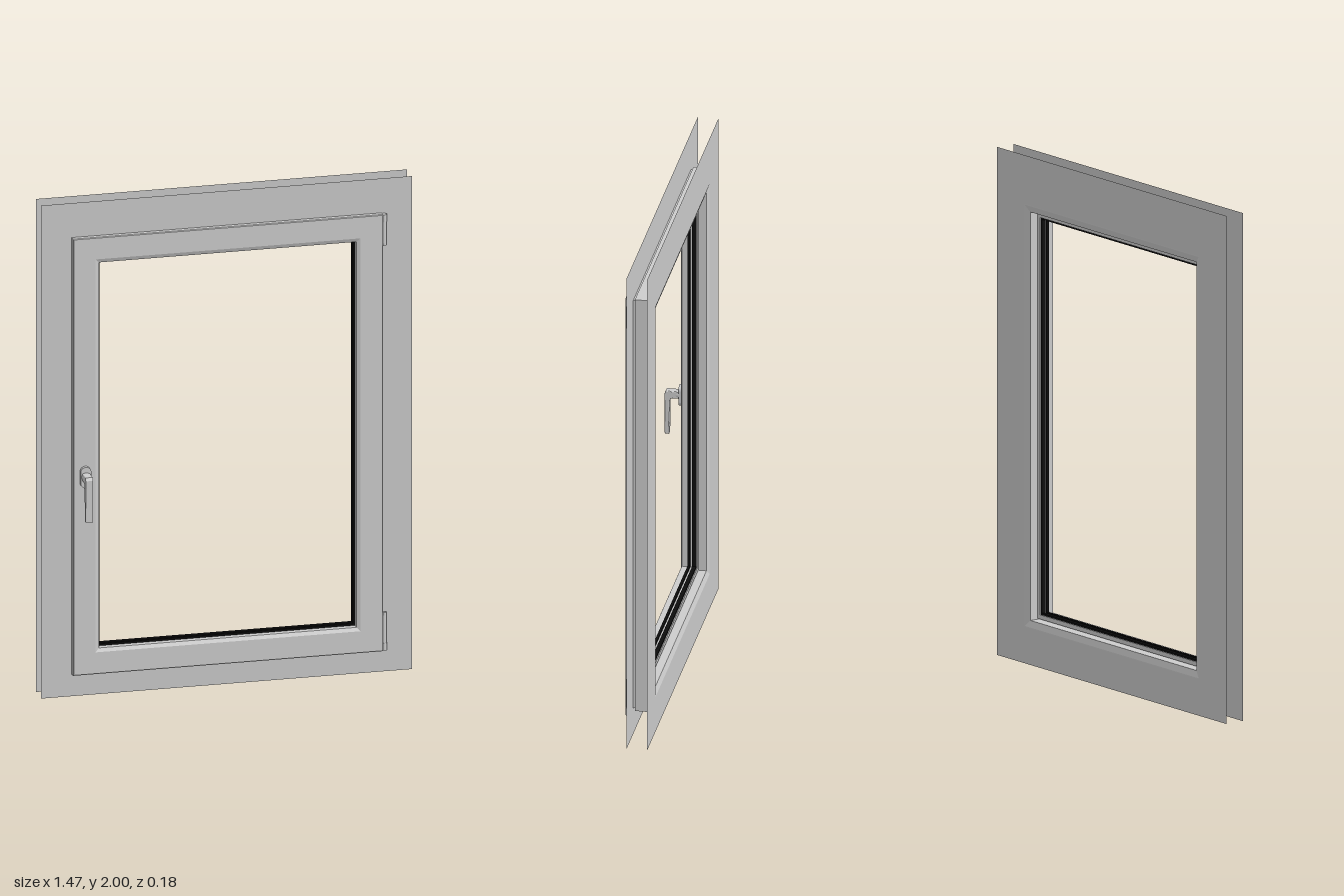
import * as THREE from 'three';

const CY = 0.976, EXTRA = 0.274; // centre height of the opening, half height minus half width

function mat(name, color, side = THREE.FrontSide) {
  const m = new THREE.MeshStandardMaterial({ color, side });
  m.name = name;
  return m;
}

// Sweeps a closed section of [half width, z] points round the window with mitred corners
function ringGeometry(section) {
  const corners = [[1, 1], [-1, 1], [-1, -1], [1, -1]];
  const at = ([r, z], [sx, sy]) => [sx * r, CY + sy * (r + EXTRA), z];
  const pos = [];
  section.forEach((p, i) => {
    const q = section[(i + 1) % section.length];
    corners.forEach((c, k) => {
      const d = corners[(k + 1) % 4];
      const [A, B, C, D] = [at(p, c), at(p, d), at(q, d), at(q, c)];
      pos.push(...A, ...B, ...C, ...A, ...C, ...D);
    });
  });
  const g = new THREE.BufferGeometry();
  g.setAttribute('position', new THREE.Float32BufferAttribute(pos, 3));
  g.computeVertexNormals();
  return g;
}

// Flat sheet 1.467 x 2 with a rectangular opening
function sheetGeometry(r) {
  const s = new THREE.Shape([[-0.733, 0], [0.733, 0], [0.733, 2], [-0.733, 2]].map(p => new THREE.Vector2(...p)));
  const h = r + EXTRA;
  s.holes.push(new THREE.Path([[-r, CY - h], [-r, CY + h], [r, CY + h], [r, CY - h]].map(p => new THREE.Vector2(...p))));
  return new THREE.ShapeGeometry(s);
}

// Upright plate with round ends
function pillGeometry(w, h, depth) {
  const r = w / 2, s = new THREE.Shape();
  s.absarc(0, h / 2 - r, r, 0, Math.PI);
  s.absarc(0, -h / 2 + r, r, Math.PI, 2 * Math.PI);
  s.closePath();
  return new THREE.ExtrudeGeometry(s, { depth, bevelEnabled: false, curveSegments: 12 });
}

export function createModel() {
  const model = new THREE.Group();
  model.name = 'window';
  const grey = mat('light grey', 0xcccccc);
  const sheetGrey = mat('sheet grey', 0xcacaca, THREE.DoubleSide);
  const black = mat('gasket black', 0x0c0c0c);

  const add = (name, geometry, material, x = 0, y = 0, z = 0, parent = model) => {
    const m = new THREE.Mesh(geometry, material);
    m.name = name;
    m.position.set(x, y, z);
    parent.add(m);
    return m;
  };

  // Thin surrounding sheets
  add('frontSheet', sheetGeometry(0.592), sheetGrey, 0, 0, -0.008);
  add('backSheet', sheetGeometry(0.56), sheetGrey, 0, 0, -0.088);

  // Fixed frame with its stepped rear lip
  add('fixedFrame', ringGeometry([
    [0.56, -0.088], [0.56, -0.072], [0.6, -0.072], [0.6, -0.016], [0.592, -0.016],
    [0.592, -0.004], [0.53, -0.004], [0.53, -0.08], [0.555, -0.088],
  ]), grey);

  // Opening sash with bevelled inner edge
  add('sash', ringGeometry([
    [0.612, -0.004], [0.612, 0.015], [0.609, 0.018], [0.523, 0.018],
    [0.508, 0.012], [0.508, -0.05], [0.525, -0.05], [0.525, -0.004],
  ]), grey);

  // Glazing gaskets
  [[-0.022, -0.012], [-0.046, -0.03]].forEach(([a, b]) => add('gasket', ringGeometry([
    [0.5085, a], [0.5085, b], [0.501, b], [0.501, a],
  ]), black));

  // Handle: rosette, collar and cranked lever
  const handle = new THREE.Group();
  handle.name = 'handle';
  handle.position.x = -0.564;
  model.add(handle);
  add('rosette', pillGeometry(0.042, 0.086, 0.014), grey, 0, 0.895, 0.018, handle);
  const collar = new THREE.CylinderGeometry(0.014, 0.018, 0.02, 20).rotateX(Math.PI / 2);
  add('collar', collar, grey, 0, 0.898, 0.04, handle);
  const side = new THREE.Shape([
    [0.034, 0.886], [0.058, 0.886], [0.066, 0.882], [0.071, 0.87], [0.073, 0.734],
    [0.084, 0.734], [0.085, 0.9], [0.081, 0.91], [0.034, 0.91],
  ].map(p => new THREE.Vector2(...p)));
  const lever = new THREE.ExtrudeGeometry(side, {
    depth: 0.022, bevelThickness: 0.004, bevelSize: 0.003, bevelSegments: 3,
  }).rotateY(-Math.PI / 2).translate(0.011, 0, 0);
  add('lever', lever, grey, 0, 0, 0, handle);

  // Hinges: a knuckle, a leaf and a pin cap each
  [['topHinge', 1.73, 1.862, 1.845], ['bottomHinge', 0.092, 0.25, 0.107]].forEach(([name, y0, y1, capY]) => {
    const hinge = new THREE.Group();
    hinge.name = name;
    model.add(hinge);
    const h = y1 - y0, mid = (y0 + y1) / 2;
    add('knuckle', new THREE.CylinderGeometry(0.008, 0.008, h - 0.01, 16), grey, 0.62, mid, 0.006, hinge);
    add('leaf', new THREE.BoxGeometry(0.014, h * 0.8, 0.02), grey, 0.613, mid, 0.004, hinge);
    add('pinCap', new THREE.CylinderGeometry(0.0105, 0.0105, 0.03, 16), grey, 0.619, capY, 0.006, hinge);
  });

  return model;
}
